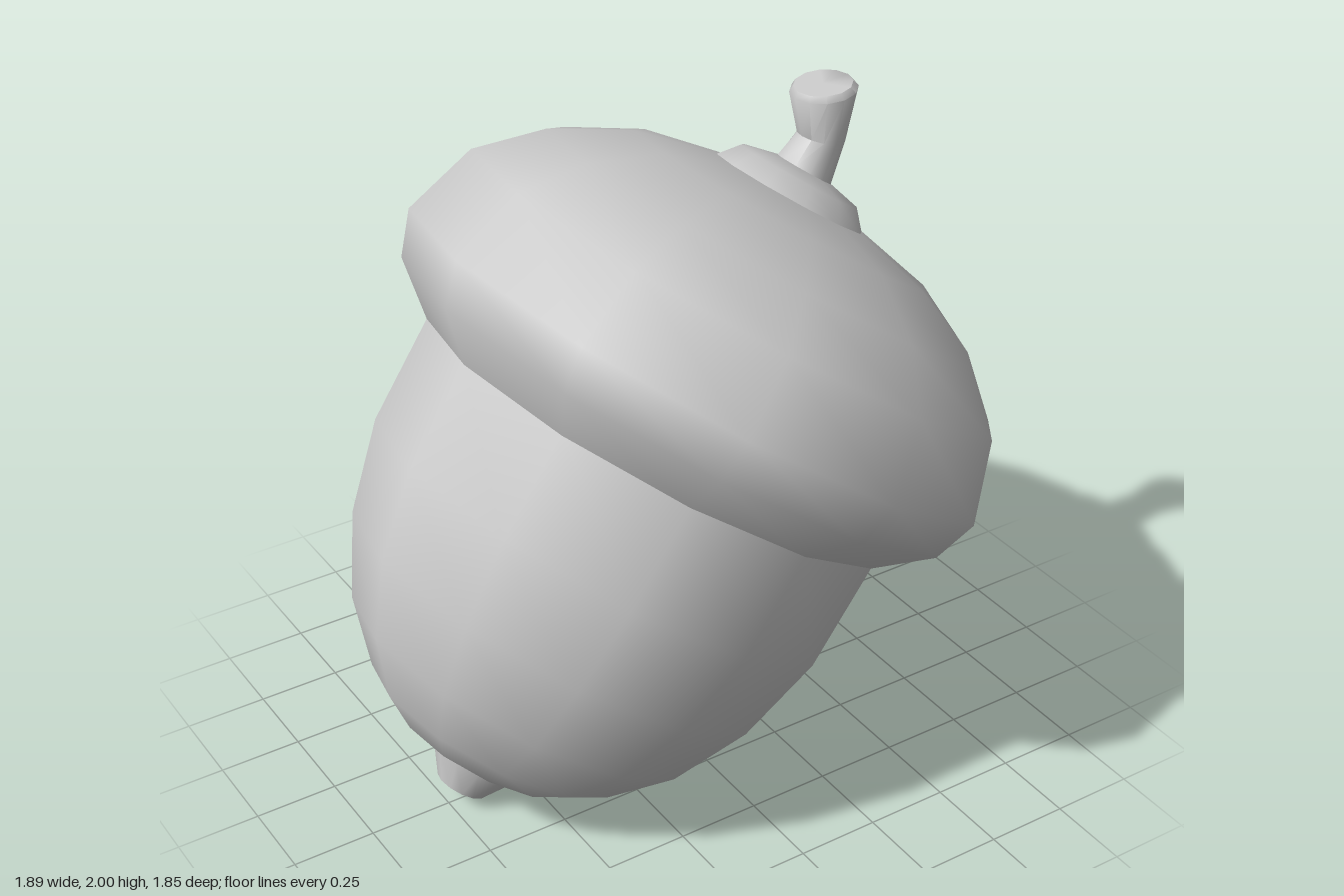
import * as THREE from 'three';
import { toCreasedNormals } from 'three/addons/utils/BufferGeometryUtils.js';

const SIDES = 12;
const TILT = -0.607; // lean of the nut's axis in the xy plane
const grey = () => new THREE.MeshStandardMaterial({ color: 0xcccccc });

// Surface of revolution from [radius, height] pairs, bottom to top
function turned(name, profile) {
  const points = profile.map(([r, y]) => new THREE.Vector2(r, y));
  const mesh = new THREE.Mesh(new THREE.LatheGeometry(points, SIDES), grey());
  mesh.name = name;
  return mesh;
}

// Cylinder whose rows are placed as tilted rings, listed top to bottom
function bentStem(rings) {
  const rows = rings.length - 1;
  const geo = new THREE.CylinderGeometry(1, 1, rows, SIDES, rows);
  const pos = geo.attributes.position;
  for (let i = 0; i < pos.count; i++) {
    const { x, y, r, tilt } = rings[Math.round(rows / 2 - pos.getY(i))];
    const across = pos.getX(i) * r;
    pos.setXYZ(i, x + across * Math.cos(tilt), y + across * Math.sin(tilt), pos.getZ(i) * r);
  }
  const mesh = new THREE.Mesh(toCreasedNormals(geo, 0.9), grey());
  mesh.name = 'stem';
  return mesh;
}

export function createModel() {
  const model = new THREE.Group();
  model.name = 'acorn';

  // Nut and cap share one leaning axis, with the origin at the seam
  const body = new THREE.Group();
  body.name = 'nutAndCap';
  body.position.set(-0.025, 1.03, 0);
  body.rotation.z = TILT;
  model.add(body);

  body.add(
    turned('nut', [
      [0, -1.11], [0.14, -1.1], [0.285, -1.053], [0.405, -0.976], [0.55, -0.818],
      [0.665, -0.59], [0.732, -0.317], [0.737, 0.01],
    ]),
    turned('nutTip', [[0.076, -1.196], [0.14, -1.1]]),
    turned('cap', [
      [0.73, 0], [0.88, 0.129], [0.925, 0.26], [0.85, 0.486], [0.693, 0.632],
      [0.474, 0.743], [0.245, 0.793], [0, 0.81],
    ]),
    turned('capKnob', [[0.245, 0.785], [0.19, 0.848], [0.085, 0.872], [0, 0.878]]),
  );

  // Flat end of the tip
  const tipEnd = new THREE.Mesh(new THREE.CircleGeometry(0.076, SIDES), grey());
  tipEnd.name = 'nutTipEnd';
  tipEnd.rotation.x = Math.PI / 2;
  tipEnd.position.y = -1.196;
  body.add(tipEnd);

  // Stem bends from the cap's axis to upright and flares at its end
  model.add(bentStem([
    { x: 0.531, y: 1.992, r: 0.084, tilt: 0.09 },
    { x: 0.534, y: 1.975, r: 0.097, tilt: 0.09 },
    { x: 0.53, y: 1.83, r: 0.07, tilt: -0.27 },
    { x: 0.475, y: 1.742, r: 0.088, tilt: TILT },
    { x: 0.464, y: 1.726, r: 0.088, tilt: TILT },
  ]));

  return model;
}
